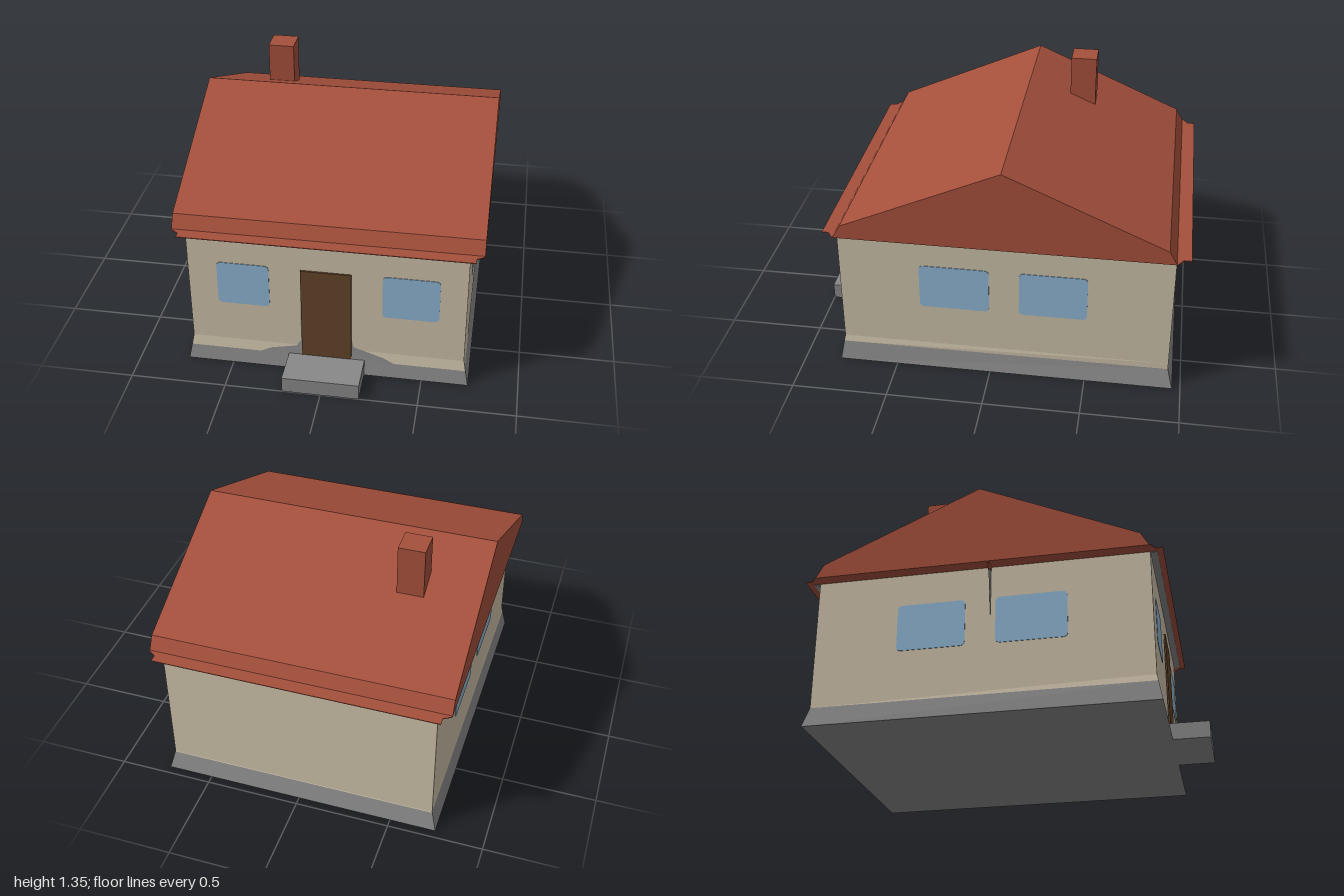
import * as THREE from 'three';

const mat = (name, color, side = THREE.FrontSide) => {
  const m = new THREE.MeshStandardMaterial({ color, side });
  m.name = name;
  return m;
};

export function createModel() {
  const house = new THREE.Group();
  house.name = 'house';
  const red = mat('roofRed', 0xa5503c);
  const cream = mat('wallCream', 0xcbbfa8);
  const grey = mat('stoneGrey', 0x888888, THREE.DoubleSide);
  const blue = mat('windowBlue', 0x8eb4d2);
  const brown = mat('doorBrown', 0x624429);

  const add = (name, geometry, material, parent = house) => {
    const m = new THREE.Mesh(geometry, material);
    m.name = name;
    parent.add(m);
    return m;
  };
  const box = (name, material, x0, x1, y0, y1, z0, z1) =>
    add(name, new THREE.BoxGeometry(x1 - x0, y1 - y0, z1 - z0), material)
      .position.set((x0 + x1) / 2, (y0 + y1) / 2, (z0 + z1) / 2);
  const shape = pts => new THREE.Shape(pts.map(p => new THREE.Vector2(...p)));
  const extrude = (s, depth) =>
    new THREE.ExtrudeGeometry(s, { depth, bevelEnabled: false, curveSegments: 4 });

  // Walls: corner points that flare outwards near the ground
  const X = 0.715, FRONT = 0.785, BACK = -0.93, EAVE = 0.8;
  const flare = (y, top) => Math.max(0, 1 - y / top);
  const frontZ = y => FRONT + 0.025 * flare(y, 0.14);
  const corner = (sx, front, y) => {
    const f = flare(y, front ? 0.14 : 0.105);
    return [sx * (X + 0.027 * f), y, front ? FRONT + 0.025 * f : BACK - 0.028 * f];
  };
  // A strip of quads climbing one wall through the given heights
  const strip = (a, b, heights) => {
    const v = [];
    for (let i = 0; i + 1 < heights.length; i++) {
      const p = corner(...a, heights[i]), q = corner(...b, heights[i]);
      const r = corner(...b, heights[i + 1]), s = corner(...a, heights[i + 1]);
      v.push(...p, ...q, ...r, ...p, ...r, ...s);
    }
    const g = new THREE.BufferGeometry();
    g.setAttribute('position', new THREE.Float32BufferAttribute(v, 3));
    g.computeVertexNormals();
    return g;
  };
  const walls = [
    ['front', [-1, true], [1, true], 0.082],
    ['left', [1, true], [1, false], 0.105],
    ['back', [1, false], [-1, false], 0.1],
    ['right', [-1, false], [-1, true], 0.105],
  ];
  for (const [name, a, b, split] of walls) {
    add(name + 'Plinth', strip(a, b, [0, split]), grey);
    add(name + 'Wall', strip(a, b, [split, 0.105, 0.14, EAVE].filter((y, i) => !i || y > split)), cream);
  }
  const floor = new THREE.PlaneGeometry(1.484, 1.768).rotateX(Math.PI / 2);
  add('floor', floor.translate(0, 0.001, -0.074), grey);

  // Worn stone patch around the doorway, following the wall
  const patch = new THREE.ShapeGeometry(shape([
    [-0.36, 0.08], [0.36, 0.08], [0.3, 0.11], [0.2, 0.14], [0.14, 0.16], [0.125, 0.25],
    [-0.12, 0.6], [-0.132, 0.6], [-0.137, 0.17], [-0.16, 0.135], [-0.29, 0.11],
  ]));
  const pos = patch.attributes.position;
  for (let i = 0; i < pos.count; i++) pos.setZ(i, frontZ(pos.getY(i)) + 0.002);
  patch.computeVertexNormals();
  add('doorwayPatch', patch, grey);

  // Door and step
  box('door', brown, -0.13, 0.13, 0.085, 0.623, 0.789, 0.798);
  box('step', grey, -0.2, 0.2, 0, 0.087, 0.79, 1);

  // Windows: thin rounded plates
  const pane = w => {
    const h = 0.125, r = 0.025, s = new THREE.Shape();
    s.moveTo(-w + r, -h).lineTo(w - r, -h).quadraticCurveTo(w, -h, w, -h + r)
      .lineTo(w, h - r).quadraticCurveTo(w, h, w - r, h)
      .lineTo(-w + r, h).quadraticCurveTo(-w, h, -w, h - r)
      .lineTo(-w, -h + r).quadraticCurveTo(-w, -h, -w + r, -h);
    return extrude(s, 0.004);
  };
  for (const [a, b] of [[-0.565, -0.295], [0.288, 0.578]])
    add('frontWindow', pane((b - a) / 2), blue).position.set((a + b) / 2, 0.5, FRONT - 0.001);
  for (const side of [-1, 1])
    for (const [a, b] of [[-0.5, -0.15], [0.005, 0.367]]) {
      const w = add('sideWindow', pane((b - a) / 2), blue);
      w.position.set(side * (X - 0.001), 0.5, (a + b) / 2);
      w.rotation.y = side * Math.PI / 2;
    }

  // Roof: gable profile run along x (shape x becomes -z)
  const roof = extrude(shape([
    [-0.785, EAVE], [0.93, EAVE], [0.89, 0.87], [0.07, 1.23], [-0.745, 0.87],
  ]), 1.57);
  roof.rotateY(Math.PI / 2).translate(-0.785, 0, 0);
  add('roof', roof, red);

  // Thin eave board projecting at front and back, with notched corners
  const board = extrude(shape([
    [-0.785, -0.935], [-0.745, -0.96], [-0.745, -1], [0.745, -1], [0.745, -0.96], [0.785, -0.935],
    [0.785, 0.79], [0.745, 0.815], [0.745, 0.85], [-0.745, 0.85], [-0.745, 0.815], [-0.785, 0.79],
  ]), 0.004);
  add('eaveBoard', board.rotateX(Math.PI / 2).translate(0, EAVE + 0.002, 0), red);
  box('backSoffit', grey, -X, X, 0.795, 0.798, -0.965, BACK);
  box('frontSoffit', grey, -X, X, 0.795, 0.798, FRONT, 0.82);

  // Chimney
  box('chimney', red, -0.5, -0.36, 1.04, 1.345, -0.43, -0.29);

  // Small bracket under the right eave, with a red tip
  const bracket = new THREE.ShapeGeometry(shape([[-0.715, 0.505], [-0.715, 0.8], [-0.785, 0.8]]));
  add('eaveBracket', bracket.translate(0, 0, -0.02), grey);
  add('bracketTip', extrude(shape([
    [-0.785, 0.8], [-0.774, 0.752], [-0.735, 0.785], [-0.716, 0.775], [-0.716, 0.8],
  ]), 0.006).translate(0, 0, -0.023), red);

  return house;
}
